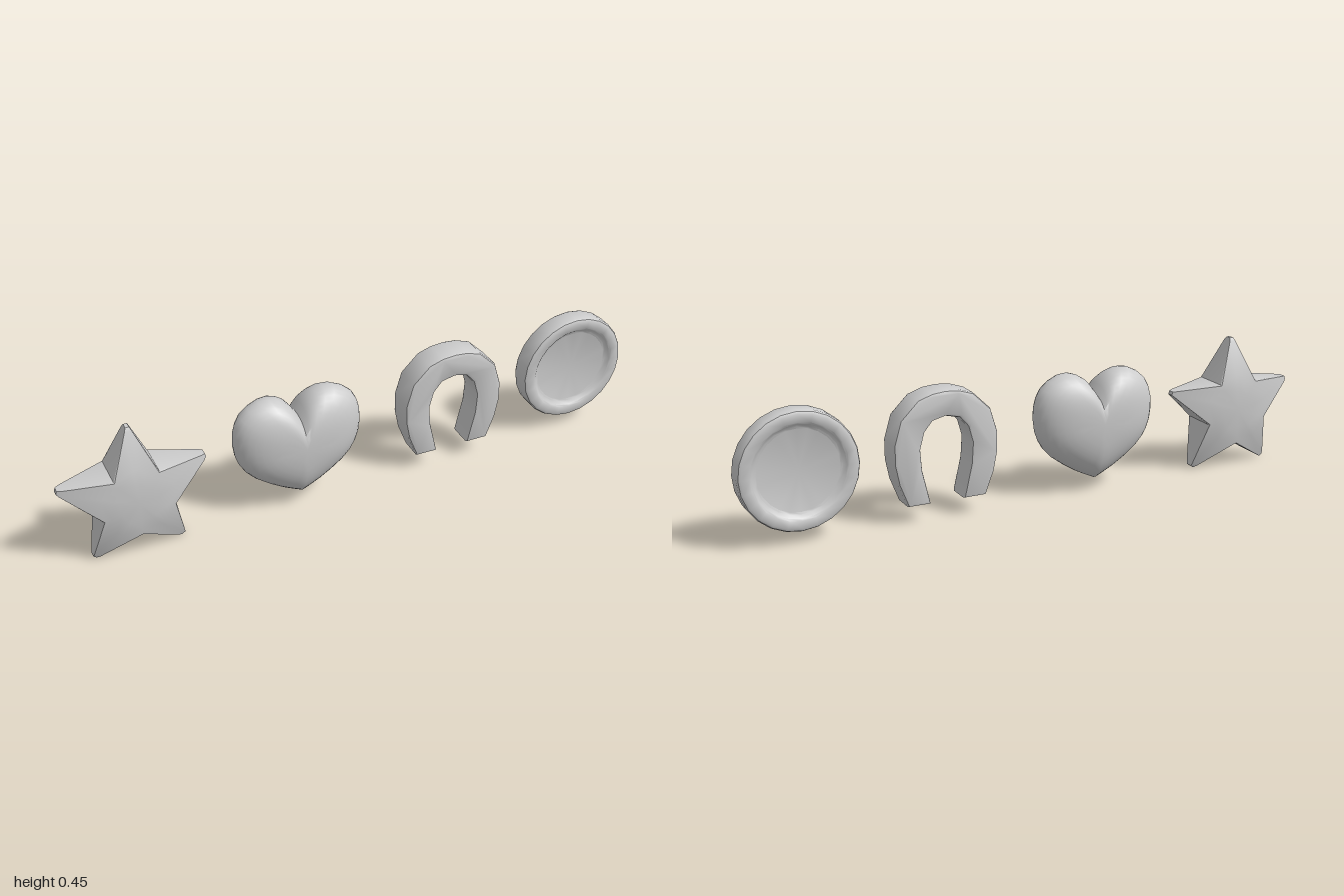
import * as THREE from 'three';
import { toCreasedNormals } from 'three/addons/utils/BufferGeometryUtils.js';

const material = new THREE.MeshStandardMaterial({ color: 0xcccccc });

function part(name, geometry, x, y, z, crease = 0.6) {
  const mesh = new THREE.Mesh(toCreasedNormals(geometry, crease), material);
  mesh.name = name;
  mesh.position.set(x, y, z);
  return mesh;
}

// Skin closed rings, listed from the front pole to the back pole, capped by two points
function skinRings(rings, front, back) {
  const n = rings[0].length;
  const position = [...rings.flat(), front, back].flat();
  const index = [];
  const a = rings.length * n, b = a + 1, last = (rings.length - 1) * n;
  for (let i = 0; i < n; i++) {
    const j = (i + 1) % n;
    index.push(a, i, j, b, last + j, last + i);
    for (let r = 0; r < rings.length - 1; r++) {
      const p = r * n, q = p + n;
      index.push(p + i, q + i, q + j, p + i, q + j, p + j);
    }
  }
  const geometry = new THREE.BufferGeometry();
  geometry.setAttribute('position', new THREE.Float32BufferAttribute(position, 3));
  geometry.setIndex(index);
  return geometry;
}

// Five-pointed star, thick in the middle and thin at its blunt tips
function starGeometry() {
  // tip radius, tip half width, tip height, notch radius, notch height
  const levels = [
    [0.07, 0.006, 0.069, 0.06, 0.069],
    [0.12, 0.008, 0.06, 0.095, 0.067],
    [0.235, 0.011, 0.018, 0.118, 0.065],
    [0.246, 0.006, 0.011, 0.121, 0.06],
  ];
  const ring = ([tip, half, tipZ, notch, notchZ], side) => {
    const points = [];
    for (let k = 0; k < 5; k++) {
      const a = Math.PI / 2 + k * Math.PI * 0.4, b = a + Math.PI / 5;
      const c = Math.cos(a), s = Math.sin(a);
      points.push([tip * c + half * s, tip * s - half * c, side * tipZ]);
      points.push([tip * c - half * s, tip * s + half * c, side * tipZ]);
      points.push([notch * Math.cos(b), notch * Math.sin(b), side * notchZ]);
    }
    return points;
  };
  const rings = [
    ...levels.map((l) => ring(l, 1)),
    ...levels.slice().reverse().map((l) => ring(l, -1)),
  ];
  return skinRings(rings, [0, 0, 0.07], [0, 0, -0.07]);
}

// Puffed heart: scaled copies of the outline swell towards the middle
function heartGeometry() {
  const half = new THREE.CatmullRomCurve3([
    [0, 0.33], [0.043, 0.385], [0.107, 0.406], [0.185, 0.367], [0.214, 0.3],
    [0.208, 0.21], [0.171, 0.144], [0.075, 0.073], [0, 0.036],
  ].map(([x, y]) => new THREE.Vector3(x, y - 0.24, 0))).getPoints(18);
  const left = half.slice(1, -1).map((p) => [p.x, p.y]);
  const outline = [
    [0, half[0].y],
    ...left.map(([x, y]) => [-x, y]),
    [0, half[18].y],
    ...left.slice().reverse(),
  ];
  const rings = [];
  for (let k = 1; k < 20; k++) {
    const angle = (k / 20) * Math.PI;
    const t = Math.pow(Math.sin(angle), 0.8);
    const z = 0.09 * Math.cos(angle);
    rings.push(outline.map(([x, y]) => [x * t, y * t, z]));
  }
  return skinRings(rings, [0, 0, 0.09], [0, 0, -0.09]);
}

// Horseshoe: mirrored outer and inner arcs, extruded with a small bevel
function horseshoeGeometry() {
  const outer = [[0.132, 0.058], [0.162, 0.135], [0.175, 0.2], [0.175, 0.265],
    [0.152, 0.342], [0.093, 0.4], [0.045, 0.416], [0, 0.42]];
  const inner = [[0, 0.337], [0.045, 0.326], [0.072, 0.294], [0.087, 0.24],
    [0.082, 0.17], [0.056, 0.058]];
  const flip = (list) => list.slice().reverse().map(([x, y]) => [-x, y]);
  const points = [...outer, ...flip(outer).slice(1), ...flip(inner), ...inner.slice(1)];
  const shape = new THREE.Shape(points.map(([x, y]) => new THREE.Vector2(x, y)));
  const bevel = 0.011;
  const geometry = new THREE.ExtrudeGeometry(shape, {
    depth: 0.097 - 2 * bevel, bevelEnabled: true, bevelSize: bevel,
    bevelThickness: bevel, bevelOffset: -bevel, bevelSegments: 2,
  });
  return geometry.translate(0, 0, bevel - 0.0485);
}

// Round coin with a raised rim and a recessed disc on both faces
function coinGeometry() {
  const side = [[0, 0.021], [0.131, 0.021], [0.138, 0.023], [0.148, 0.033],
    [0.154, 0.037], [0.179, 0.037], [0.187, 0.033], [0.191, 0.025]];
  const profile = [...side.map(([r, h]) => [r, -h]), ...side.slice().reverse()];
  return new THREE.LatheGeometry(profile.map(([r, h]) => new THREE.Vector2(r, h)), 24)
    .rotateX(Math.PI / 2);
}

export function createModel() {
  const group = new THREE.Group();
  group.name = 'charms';
  group.add(
    part('star', starGeometry(), -0.765, 0.204, 0.02, 0.7),
    part('heart', heartGeometry(), -0.215, 0.24, 0, 1.1),
    part('horseshoe', horseshoeGeometry(), 0.333, 0, -0.013, 0.7),
    part('coin', coinGeometry(), 0.807, 0.23, -0.025, 0.6),
  );
  return group;
}
